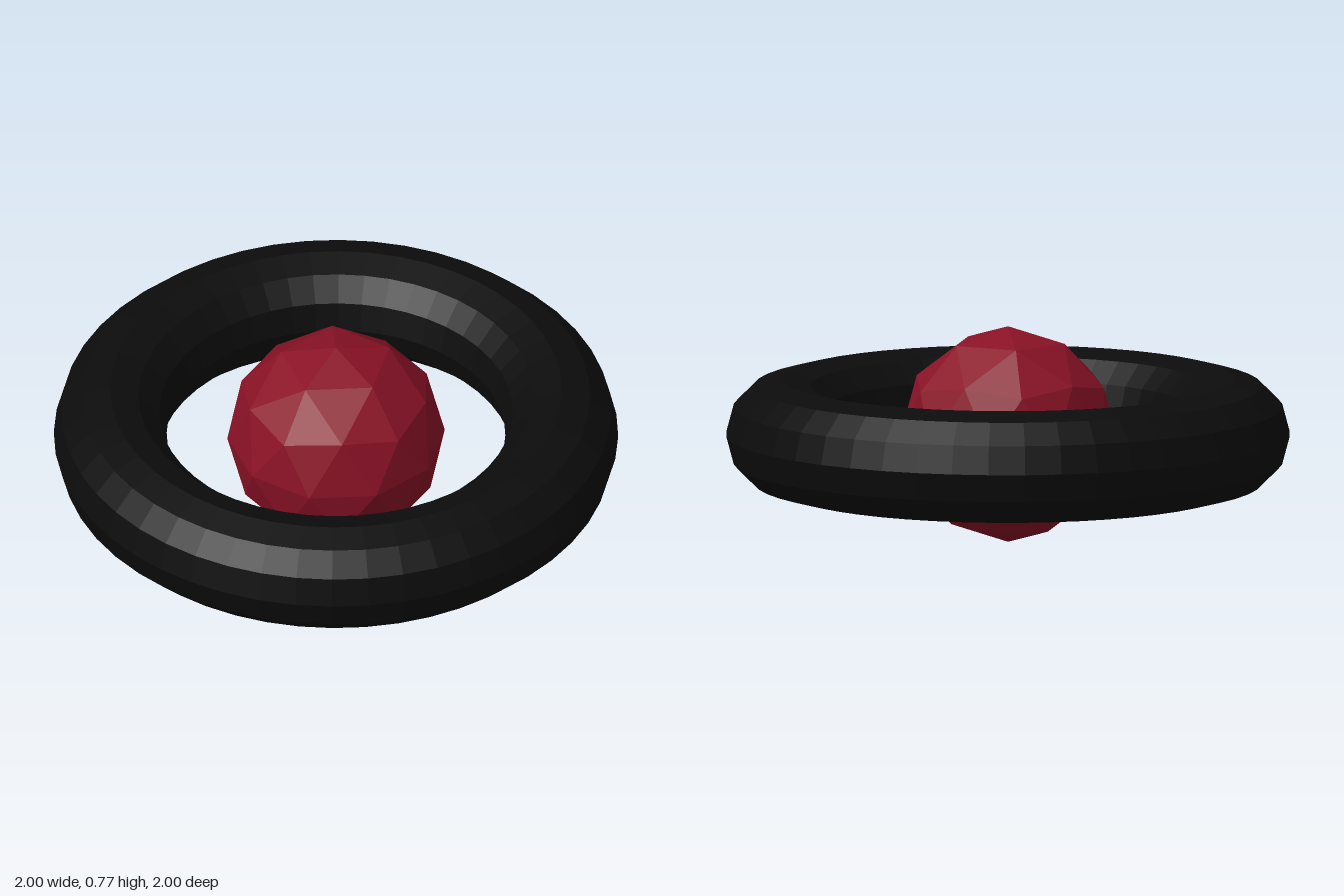
import * as THREE from 'three';

const CENTRE_Y = 0.39;

// Icosahedron with its poles on y and an upper corner towards +x, subdivided once
function makeBall(radius) {
  const h = 1 / Math.sqrt(5), r = 2 * h;
  const verts = [0, 1, 0, 0, -1, 0];
  for (const [y, offset] of [[h, 0], [-h, Math.PI / 5]]) {
    for (let i = 0; i < 5; i++) {
      const a = offset + i * Math.PI * 0.4;
      verts.push(r * Math.cos(a), y, r * Math.sin(a));
    }
  }
  const faces = [];
  for (let i = 0; i < 5; i++) {
    const up = 2 + i, upNext = 2 + (i + 1) % 5;
    const low = 7 + i, lowNext = 7 + (i + 1) % 5;
    faces.push(0, upNext, up, up, upNext, low, low, upNext, lowNext, 1, low, lowNext);
  }
  return new THREE.PolyhedronGeometry(verts, faces, radius, 1);
}

export function createModel() {
  const group = new THREE.Group();
  const add = (name, geometry, color) => {
    const mesh = new THREE.Mesh(geometry, new THREE.MeshStandardMaterial({ color, flatShading: true }));
    mesh.name = name;
    mesh.position.y = CENTRE_Y;
    group.add(mesh);
  };

  // Flat-lying outer ring
  add('ring', new THREE.TorusGeometry(0.8, 0.2, 12, 48).rotateX(Math.PI / 2), 0x0c0c0c);

  // Faceted ball floating in the middle
  add('ball', makeBall(0.386), 0x8a1226);

  return group;
}
